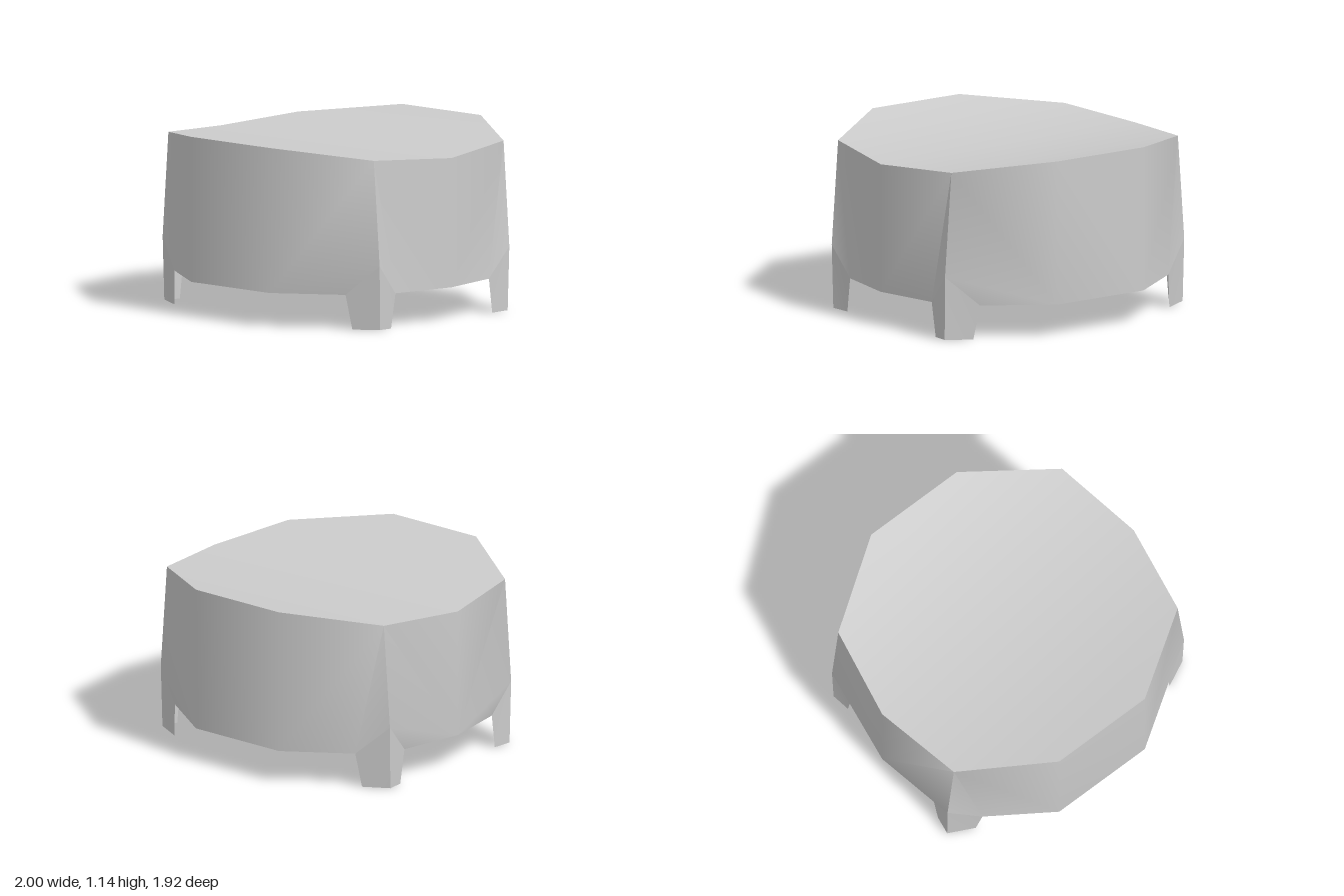
import * as THREE from 'three';
import { toCreasedNormals } from 'three/addons/utils/BufferGeometryUtils.js';

// Corners of one quarter of the shell, mirrored for the other three
const P = {
  T1: [0.34, 1.14, 0.96], B1: [0.34, 0.22, 0.96],
  T2: [0.89, 1.075, 0.59], A: [0.94, 0.41, 0.59],
  T3: [1, 1.04, 0], B3: [1, 0.22, 0],
  G: [0.74, 0.22, 0.69], Gb: [0.77, 0, 0.66],
  H: [0.92, 0.22, 0.425], Hb: [0.915, 0, 0.46],
  Ab: [0.935, 0.005, 0.58],
};
// The panels fold differently on the left and right halves
const LEFT_WALL = 'T1 B1 T2,T2 B1 A,A B1 G,T2 A H,T2 H B3,T2 B3 T3';
const RIGHT_WALL = 'T1 B1 T2,T2 B1 G,T2 G A,T2 A B3,A H B3,T2 B3 T3';
const FOOT = 'G Gb A,Gb Ab A,A Ab Hb,A Hb H';

function addFaces(out, faces, sx, sz) {
  for (const face of faces.split(',')) {
    const names = face.split(' ');
    if (sx * sz < 0) names.reverse();
    for (const n of names) out.push(P[n][0] * sx, P[n][1], P[n][2] * sz);
  }
}

function addQuad(out, a, b, c, d) {
  out.push(...a, ...b, ...c, ...a, ...c, ...d);
}

function makeMesh(name, positions, material) {
  const g = new THREE.BufferGeometry();
  g.setAttribute('position', new THREE.Float32BufferAttribute(positions, 3));
  g.computeVertexNormals();
  const mesh = new THREE.Mesh(toCreasedNormals(g, THREE.MathUtils.degToRad(55)), material);
  mesh.name = name;
  return mesh;
}

export function createModel() {
  const group = new THREE.Group();
  group.name = 'footedDrum';
  const grey = new THREE.MeshStandardMaterial({ color: 0xcccccc, side: THREE.DoubleSide });
  grey.name = 'lightGrey';

  // Ten-sided open wall and four thin corner feet
  const wall = [];
  for (const sz of [1, -1]) {
    const at = ([x, y, z], sx) => [x * sx * sz, y, z * sz];
    addQuad(wall, at(P.T1, -1), at(P.B1, -1), at(P.B1, 1), at(P.T1, 1));
    for (const sx of [1, -1]) {
      addFaces(wall, sx > 0 ? LEFT_WALL : RIGHT_WALL, sx, sz);
      const foot = [];
      addFaces(foot, FOOT, sx, sz);
      group.add(makeMesh((sz > 0 ? 'front' : 'back') + (sx > 0 ? 'Left' : 'Right') + 'Foot', foot, grey));
    }
  }
  group.add(makeMesh('wall', wall, grey));

  // Gently dished top, in strips from front to back
  const top = [];
  const rows = [[P.T1, 1], [P.T2, 1], [P.T3, 1], [P.T2, -1], [P.T1, -1]];
  const edge = ([p, sz], sx) => [p[0] * sx, p[1], p[2] * sz];
  for (let i = 0; i < rows.length - 1; i++) {
    addQuad(top, edge(rows[i], -1), edge(rows[i], 1), edge(rows[i + 1], 1), edge(rows[i + 1], -1));
  }
  group.add(makeMesh('top', top, grey));

  return group;
}
